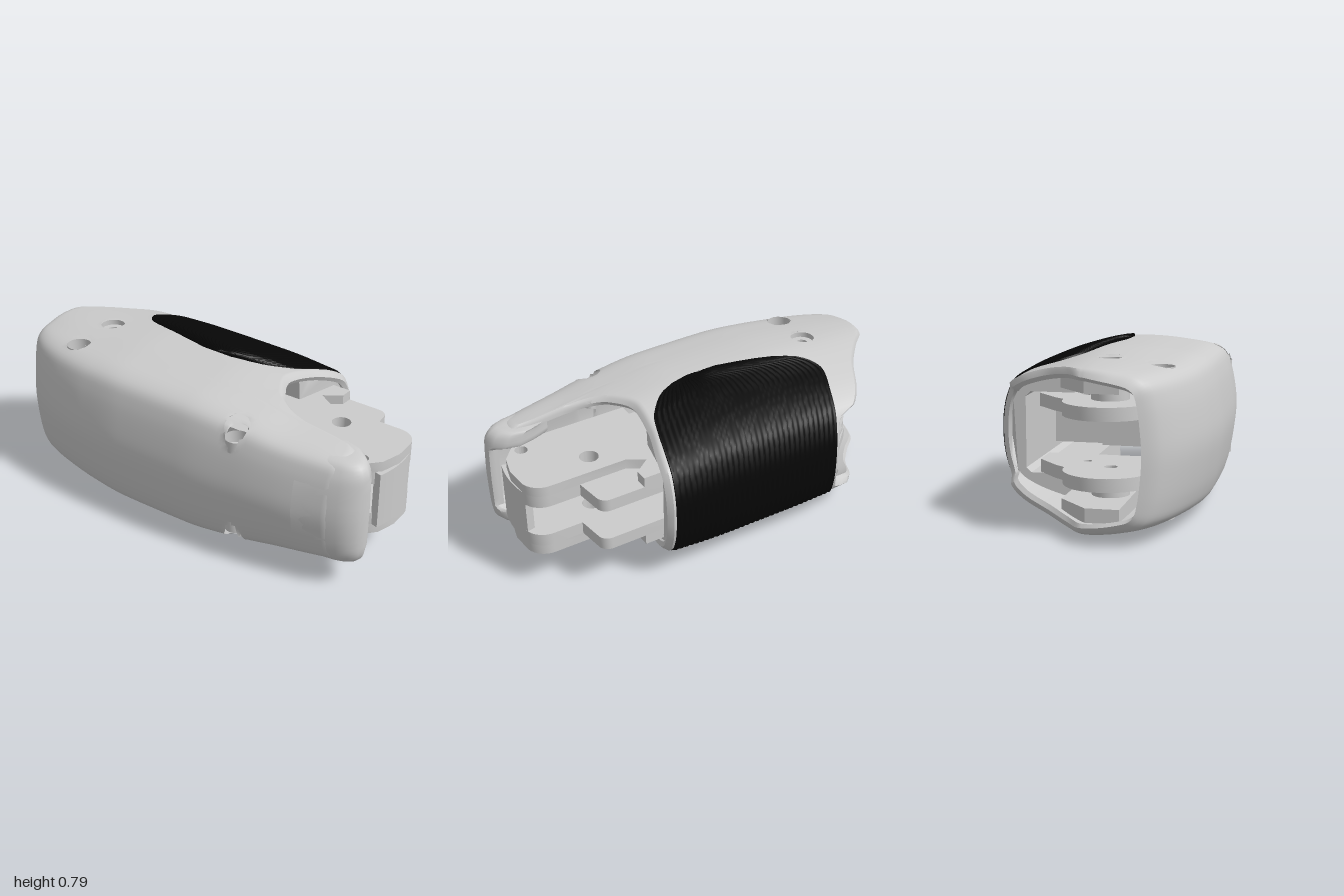
import * as THREE from 'three';
import { toCreasedNormals } from 'three/addons/utils/BufferGeometryUtils.js';

const MID = 0.388; // height of the mirror plane
const grey = new THREE.MeshStandardMaterial({ color: 0xcccccc, side: THREE.DoubleSide });
const black = new THREE.MeshStandardMaterial({ color: 0x060606, side: THREE.DoubleSide });

// Smooth monotone interpolation through [key, value] pairs.
function curve(pts) {
  const n = pts.length;
  const slope = pts.slice(1).map((p, i) => (p[1] - pts[i][1]) / (p[0] - pts[i][0]));
  const tan = pts.map((p, i) => {
    if (i === 0) return slope[0];
    if (i === n - 1) return slope[n - 2];
    const a = slope[i - 1], b = slope[i];
    return a * b <= 0 ? 0 : (2 * a * b) / (a + b);
  });
  return (t) => {
    if (t <= pts[0][0]) return pts[0][1];
    if (t >= pts[n - 1][0]) return pts[n - 1][1];
    let i = 0;
    while (t > pts[i + 1][0]) i++;
    const w = pts[i + 1][0] - pts[i][0], s = (t - pts[i][0]) / w, r = 1 - s;
    return pts[i][1] * (1 + 2 * s) * r * r + tan[i] * w * s * r * r
      + pts[i + 1][1] * s * s * (3 - 2 * s) - tan[i + 1] * w * s * s * r;
  };
}

// Body shape along z: left side and relative height
const leftSide = curve([[-1, 0.27], [-0.95, 0.33], [-0.85, 0.39], [-0.7, 0.44], [-0.5, 0.48],
  [-0.25, 0.5], [0.1, 0.495], [0.4, 0.47], [0.6, 0.445], [0.8, 0.405], [0.9, 0.38], [1, 0.32]]);
const height = curve([[-1, 0.87], [-0.95, 0.91], [-0.6, 0.96], [-0.3, 1], [0.1, 0.99], [0.4, 0.91],
  [0.6, 0.82], [0.9, 0.73], [1, 0.6]]);
// Back and front rims of the shell, and of the grip, by x
const shellBack = curve([[-0.5, -0.985], [-0.2, -0.988], [0, -0.965], [0.1, -0.87], [0.2, -0.78],
  [0.42, -0.63], [0.45, -0.53], [0.5, -0.495]]);
const shellFront = curve([[-0.5, 0.87], [-0.33, 0.89], [-0.26, 0.87], [-0.235, 0.8],
  [-0.22, 0.65], [-0.18, 0.52], [-0.1, 0.42], [0.05, 0.355], [0.2, 0.37], [0.35, 0.41], [0.5, 0.435]]);
const gripBack = curve([[-0.01, -0.1], [0.02, -0.25], [0.06, -0.42], [0.1, -0.52], [0.15, -0.57],
  [0.2, -0.59], [0.35, -0.54], [0.5, -0.48]]);
const gripFront = curve([[-0.01, 0.05], [0.02, 0.18], [0.06, 0.25], [0.1, 0.29], [0.15, 0.33],
  [0.2, 0.35], [0.35, 0.39], [0.5, 0.42]]);

// Widest cross-section as a closed ring with outward normals
function makeRing(half) {
  const top = [[-0.5, 0], [-0.492, 0.1], [-0.465, 0.24], [-0.435, 0.31], [-0.38, 0.345], [-0.25, 0.37],
    [-0.1, 0.384], [0.04, 0.382], [0.2, 0.345], [0.35, 0.29], [0.43, 0.235], [0.472, 0.15],
    [0.489, 0.07], [0.492, 0]];
  const loop = [...top, ...top.slice(1, -1).reverse().map(([x, y]) => [x, -y])];
  const path = new THREE.CatmullRomCurve3(loop.map(([x, y]) => new THREE.Vector3(x, y, 0)), true);
  const pts = path.getSpacedPoints(half * 2).slice(0, -1);
  return pts.map((p, i) => {
    const a = pts[(i + pts.length - 1) % pts.length], b = pts[(i + 1) % pts.length];
    const l = Math.hypot(b.x - a.x, b.y - a.y);
    return { x: p.x, y: p.y, nx: -(b.y - a.y) / l, ny: (b.x - a.x) / l };
  });
}

function bodyPoint(p, z, off) {
  const x = p.x + p.nx * off, y = p.y + p.ny * off;
  return [x < 0 ? x * leftSide(z) * 2 : x, MID + y * height(z), z];
}

// Geometry from rows of points; quads for which skip(centre) holds are left out
function skin(rows, closed, skip = () => false) {
  const m = rows[0].length, n = rows.length, index = [];
  for (let i = 0; i < (closed ? n : n - 1); i++) {
    for (let j = 0; j < (closed ? m : m - 1); j++) {
      const i2 = (i + 1) % n, j2 = (j + 1) % m;
      const q = [rows[i][j], rows[i][j2], rows[i2][j2], rows[i2][j]];
      if (skip([0, 1, 2].map((k) => (q[0][k] + q[1][k] + q[2][k] + q[3][k]) / 4))) continue;
      const [a, b, c, d] = [i * m + j, i * m + j2, i2 * m + j2, i2 * m + j];
      index.push(a, b, c, a, c, d);
    }
  }
  const g = new THREE.BufferGeometry();
  g.setAttribute('position', new THREE.Float32BufferAttribute(rows.flat(2), 3));
  g.setIndex(index);
  return g;
}

// Screw holes: x, z, radius, height of the mouth above the mirror plane
const screws = [[-0.28, -0.67, 0.06, 0.335], [-0.05, -0.65, 0.06, 0.358], [-0.39, 0.38, 0.058, 0.24]];

function shellGeometry() {
  const N = 100;
  const rows = makeRing(80).map((p) => {
    const z0 = shellBack(p.x), z1 = shellFront(p.x), outer = [], inner = [];
    for (let j = 0; j <= N; j++) {
      const z = z0 + (z1 - z0) * j / N;
      outer.push(bodyPoint(p, z, j % N ? 0 : -0.01));
      inner.unshift(bodyPoint(p, z, -0.05));
    }
    return [...outer, bodyPoint(p, z1 + 0.012, -0.028), ...inner, bodyPoint(p, z0 - 0.012, -0.028)];
  });
  // pull nearby points onto the hole circles
  for (const v of rows.flat()) for (const [x, z, r] of screws) {
    const d = Math.hypot(v[0] - x, v[2] - z);
    if (d < r && d > r - 0.02) {
      v[0] = x + (v[0] - x) * r / d;
      v[2] = z + (v[2] - z) * r / d;
    }
  }
  const g = skin(rows, true, (c) => screws.some(([x, z, r]) => Math.hypot(c[0] - x, c[2] - z) < r));
  return toCreasedNormals(g, 0.7);
}

// Ridged sleeve with its border tucked into the shell
function gripGeometry() {
  const N = 128, ring = makeRing(70).filter((p) => p.x > -0.012);
  const row = (p, border) => Array.from({ length: N + 1 }, (_, j) => {
    const z = gripBack(p.x) + (gripFront(p.x) - gripBack(p.x)) * j / N;
    return bodyPoint(p, z, border || j % N === 0 ? -0.012 : j % 4 < 2 ? 0.008 : 0.004);
  });
  const rows = [row(ring[0], true), ...ring.map((p) => row(p, false)), row(ring[ring.length - 1], true)];
  return toCreasedNormals(skin(rows, false), 0.6);
}

// Rounded nose: thin wall at mid height, solid above and below it
function noseGeometry() {
  const side = [[-0.43, 0.7], [-0.405, 0.8], [-0.38, 0.9], [-0.352, 0.95], [-0.31, 0.983], [-0.265, 0.992]];
  const thin = [...side, [-0.24, 0.988], [-0.235, 0.975], [-0.235, 0.96], [-0.235, 0.945],
    [-0.24, 0.94], [-0.29, 0.94], [-0.33, 0.9], [-0.36, 0.8], [-0.385, 0.7]];
  const solid = [...side, [-0.215, 0.973], [-0.172, 0.925], [-0.155, 0.86], [-0.172, 0.78],
    [-0.2, 0.7], [-0.25, 0.69], [-0.3, 0.69], [-0.35, 0.69], [-0.4, 0.69]];
  const leftScale = curve([[0, 1], [0.1, 0.94], [0.18, 0.82], [0.225, 0.68], [0.25, 0.56], [0.264, 0.4]]);
  const reach = curve([[0, 1], [0.17, 0.99], [0.2, 0.98], [0.23, 0.94], [0.25, 0.87], [0.26, 0.78], [0.264, 0.66]]);
  const half = [0, 0.06, 0.12, 0.16, 0.172, 0.185, 0.2, 0.215, 0.23, 0.24, 0.25, 0.256, 0.26, 0.264];
  const levels = [...half.slice(1).reverse().map((d) => -d), ...half];
  const rows = levels.map((dy) => {
    const d = Math.abs(dy), w = THREE.MathUtils.smoothstep(d, 0.16, 0.19);
    const row = thin.map(([tx, tz], i) => {
      const x = tx + (solid[i][0] - tx) * w, z = tz + (solid[i][1] - tz) * w;
      return [x < -0.25 ? -0.25 + (x + 0.25) * leftScale(d) : x, MID + dy, 0.7 + (z - 0.7) * reach(d)];
    });
    return [...row, row[0]];
  });
  const cap = (row) => row.map(([, y]) => [-0.25, y, 0.78]);
  return toCreasedNormals(skin([cap(rows[0]), ...rows, cap(rows[rows.length - 1])], false), 0.7);
}

// Solid lining right of the cavity, its ends following the shell rims
function liningGeometry() {
  const outer = makeRing(60).filter((p) => p.x > 0.14)
    .map((p) => [p.x - p.nx * 0.043, (p.y - p.ny * 0.043) * 0.95]);
  const pts = [...outer, [0.14, -0.187], [0.345, -0.187], [0.368, -0.165], [0.368, 0.165], [0.345, 0.187], [0.14, 0.187]];
  const g = new THREE.ExtrudeGeometry(new THREE.Shape(pts.map(([x, y]) => new THREE.Vector2(x, y))),
    { depth: 1, bevelEnabled: false });
  const pos = g.attributes.position;
  for (let i = 0; i < pos.count; i++) {
    const x = pos.getX(i);
    pos.setZ(i, pos.getZ(i) > 0.5 ? shellFront(x) - 0.005 : Math.max(shellBack(x) + 0.03, -0.55));
  }
  return toCreasedNormals(g.translate(0, MID, 0), 0.6);
}

export function createModel() {
  const model = new THREE.Group();
  const add = (name, geometry, material = grey) => {
    const mesh = new THREE.Mesh(geometry, material);
    mesh.name = name;
    model.add(mesh);
    return mesh;
  };
  // Flat part drawn in x and z, from y0 to y1
  const plate = (name, pts, y0, y1, holes = []) => {
    const shape = new THREE.Shape(pts.map(([x, z]) => new THREE.Vector2(x, -z)));
    for (const [x, z, r] of holes) shape.holes.push(new THREE.Path().absarc(x, -z, r, 0, Math.PI * 2, true));
    const g = new THREE.ExtrudeGeometry(shape, { depth: y1 - y0, bevelEnabled: false, curveSegments: 20 });
    g.rotateX(-Math.PI / 2).translate(0, y0, 0);
    return add(name, toCreasedNormals(g, 0.6));
  };
  // Same plate above and below the mirror plane
  const pair = (name, pts, y0, y1, holes) => {
    plate(name + 'Upper', pts, y0, y1, holes);
    plate(name + 'Lower', pts, 2 * MID - y1, 2 * MID - y0, holes);
  };
  const arc = (cx, cz, r, a0, a1, n = 16) => Array.from({ length: n + 1 }, (_, i) => {
    const a = (a0 + (a1 - a0) * i / n) * Math.PI / 180;
    return [cx + r * Math.cos(a), cz + r * Math.sin(a)];
  });

  add('shell', shellGeometry());
  add('grip', gripGeometry(), black);
  add('nose', noseGeometry());
  add('lining', liningGeometry());

  // Counterbored screw seats on both faces
  for (const [x, z, r, top] of screws) for (const s of [1, -1]) {
    const profile = [[r, top], [r, top - 0.06], [0.028, top - 0.06], [0.028, top - 0.12]];
    const g = new THREE.LatheGeometry(profile.map(([a, y]) => new THREE.Vector2(a, y * s)), 28);
    add('screwSeat', toCreasedNormals(g, 0.6)).position.set(x, MID, z);
  }

  // Front fork: inner plates, round outer links and the pad joining them
  const forkHoles = [[0.08, 0.63, 0.045], [-0.13, 0.87, 0.03]];
  pair('forkPlate', [[-0.2, 0.1], [0.36, 0.1], ...arc(0.31, 0.67, 0.05, 0, 90, 6), [0.19, 0.735],
    ...arc(0.09, 0.88, 0.1, 0, 80, 8), [0, 0.985], [-0.1, 0.96], [-0.17, 0.9], [-0.2, 0.8]],
  0.465, 0.526, forkHoles);
  pair('forkLink', [[-0.2, 0.3], [0.36, 0.3], [0.36, 0.5], [0.3, 0.5], [0.24, 0.42], [0.19, 0.5],
    ...arc(0.09, 0.88, 0.1, 0, 80, 8), [0, 0.985], [-0.1, 0.96], [-0.17, 0.9], [-0.2, 0.8]],
  0.526, 0.575, forkHoles);
  plate('frontPad', [...arc(0, 0.5, 0.49, 106, 76), ...arc(0, 0.5, 0.45, 76, 106)], 0.25, 2 * MID - 0.25);
  plate('crossBlock', [[0.12, -0.05], [0.37, -0.05], [0.37, 0.15], [0.12, 0.15]], 0.25, 2 * MID - 0.25);
  plate('innerWall', [[-0.24, -0.1], [0.12, -0.1], [0.12, 0.1], [-0.24, 0.1]], 0.25, 2 * MID - 0.25);

  // Rear hinge: lugs, spacers and side cheeks around the pin axis
  pair('rearLug', [[0.3, -0.4], [0.3, -0.55], [0.2, -0.66], ...arc(-0.05, -0.7, 0.2, 0, -180), [-0.25, -0.4]],
    0.51, 0.57, [[-0.05, -0.65, 0.03], [0.08, -0.55, 0.02]]);
  pair('hingeSpacer', arc(-0.05, -0.65, 0.085, 0, -360, 28).slice(0, -1), 0.57, 0.635, [[-0.05, -0.65, 0.03]]);
  pair('sideCheek', [[-0.15, -0.3], [0.14, -0.3], [0.14, -0.78], [0, -0.93], [-0.15, -0.93]],
    0.632, 0.72, [[-0.05, -0.65, 0.03]]);
  return model;
}
